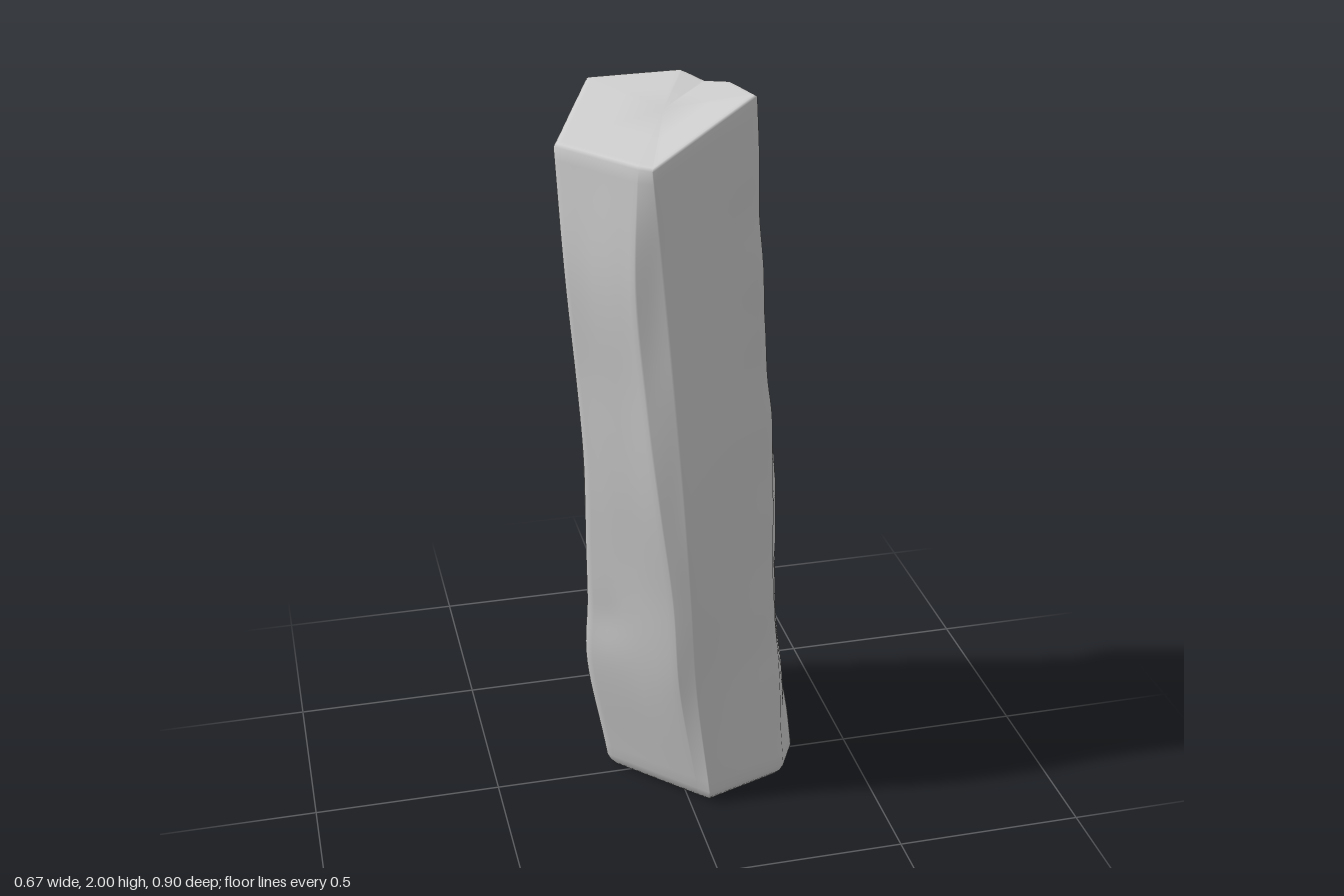
import * as THREE from 'three';

// Corner ridges of the column, each listed from foot to top as [x, z] at HEIGHTS.
const HEIGHTS = [0.04, 0.4, 0.7, 1.0, 1.3, 1.6];
const RIDGES = [
  { top: [-0.155, 1.9, 0.45], xz: [[0.05, 0.215], [0, 0.262], [-0.03, 0.32], [-0.06, 0.37], [-0.09, 0.4], [-0.12, 0.418]] }, // front
  { top: [0.13, 2.0, 0.27], xz: [[0.28, 0.135], [0.255, 0.145], [0.23, 0.16], [0.21, 0.185], [0.185, 0.22], [0.155, 0.25]] }, // front left
  { top: [0.115, 1.985, 0.1], xz: [[0.33, 0.04], [0.295, 0], [0.285, -0.04], [0.262, -0.01], [0.228, 0.02], [0.165, 0.08]] }, // left
  { top: [0.075, 1.975, 0.035], xz: [[0.255, -0.255], [0.235, -0.185], [0.255, -0.2], [0.23, -0.155], [0.175, -0.11], [0.12, -0.05]] }, // back left
  { top: [0.02, 1.99, -0.015], xz: [[0.075, -0.45], [0.06, -0.38], [0.055, -0.31], [0.05, -0.24], [0.045, -0.155], [0.04, -0.085]] }, // back
  { top: [-0.2, 1.97, -0.07], xz: [[-0.06, -0.4], [-0.1, -0.305], [-0.145, -0.25], [-0.19, -0.185], [-0.21, -0.095], [-0.21, -0.075]] }, // back right
  { top: [-0.335, 1.9, 0.22], xz: [[-0.185, -0.03], [-0.245, 0.02], [-0.25, 0.07], [-0.265, 0.13], [-0.288, 0.18], [-0.317, 0.225]] }, // right
  { top: [-0.185, 1.9, 0.425], xz: [[0.02, 0.185], [-0.045, 0.245], [-0.075, 0.3], [-0.12, 0.35], [-0.16, 0.38], [-0.19, 0.405]] }, // front right
];
// Roughness of the face after each ridge: the left side is broken, the rest is smooth.
const ROUGH = [0.1, 1, 0.8, 0.2, 0, 0, 0, 0];
const STEPS = [0, 0.07, 0.22, 0.4, 0.6, 0.78, 0.93];

// Gouges: centre, radius and depth.
const GOUGES = [
  [0.08, 1.9, 0.03, 0.09, 0.035],
  [0.28, 0.55, 0.06, 0.13, 0.018],
  [0.3, 0.28, 0.0, 0.12, 0.01],
  [-0.23, 0.55, 0.1, 0.1, 0.01],
];

// Smooth value noise in the range -1 to 1.
function hash(i, j, k) {
  const s = Math.sin(i * 127.1 + j * 311.7 + k * 74.7) * 43758.5453;
  return (s - Math.floor(s)) * 2 - 1;
}

function noise(x, y, z) {
  const i = Math.floor(x), j = Math.floor(y), k = Math.floor(z);
  const [u, v, w] = [x - i, y - j, z - k].map((t) => t * t * (3 - 2 * t));
  const mix = THREE.MathUtils.lerp;
  const row = (b, c) => mix(hash(i, b, c), hash(i + 1, b, c), u);
  return mix(mix(row(j, k), row(j + 1, k), v), mix(row(j, k + 1), row(j + 1, k + 1), v), w);
}

// Long shallow streaks everywhere, lumps where rough, and the gouges.
function weather(p, centre, rough, fade) {
  const out = new THREE.Vector3(p.x - centre.x, 0, p.z - centre.z).normalize();
  let push = fade * (0.005 * noise(p.x * 13, p.y * 2, p.z * 13)
    + rough * 0.013 * noise(p.x * 10 + 5, p.y * 7, p.z * 10));
  for (const [x, y, z, r, depth] of GOUGES) {
    const d2 = (p.x - x) ** 2 + (p.y - y) ** 2 / 2 + (p.z - z) ** 2;
    push -= depth * Math.exp(-3 * d2 / (r * r));
  }
  return p.addScaledVector(out, push);
}

const middle = (ring) => ring.reduce((s, p) => s.add(p), new THREE.Vector3()).divideScalar(ring.length);

// One cross-section at t along the ridges.
function section(curves, t) {
  const corners = curves.map((c) => c.getPoint(t));
  const n = corners.length;
  const centre = middle(corners.map((p) => p.clone()));
  const fade = Math.min(1, t * 6, (1 - t) * 8 + 0.1);
  const ring = [];
  corners.forEach((a, k) => {
    const before = ROUGH[(k + n - 1) % n], here = ROUGH[k], after = ROUGH[(k + 1) % n];
    for (const s of STEPS) {
      const rough = s < 0.5
        ? THREE.MathUtils.lerp((before + here) / 2, here, s * 2)
        : THREE.MathUtils.lerp(here, (here + after) / 2, s * 2 - 1);
      ring.push(weather(a.clone().lerp(corners[(k + 1) % n], s), centre, rough, fade));
    }
  });
  return ring;
}

// A copy of a ring drawn in toward its middle and shifted in height.
function inset(ring, scale, dy) {
  const c = middle(ring);
  return ring.map((p) => {
    const q = c.clone().lerp(p, scale);
    q.y = Math.max(0, q.y + dy);
    return q;
  });
}

function createColumn() {
  const curves = RIDGES.map(({ xz, top }) => new THREE.CatmullRomCurve3(
    [...xz.map(([x, z], i) => new THREE.Vector3(x, HEIGHTS[i], z)), new THREE.Vector3(...top)], false, 'centripetal'));
  const rows = [];
  const COUNT = 56;
  for (let i = 0; i <= COUNT; i++) rows.push(section(curves, i / COUNT));

  // Rounded rims and flat ends
  const foot = rows[0], head = rows[COUNT];
  const bottom = [0, 0.5, 0.9, 0.96].map((s) => inset(foot, s, s > 0.95 ? -0.022 : -0.04));
  const crown = [0.97, 0.92, 0.5, 0].map((s) => inset(head, s, 0.005));
  const all = [...bottom, ...rows, ...crown];

  const n = foot.length, last = all.length - 1, index = [];
  for (let i = 0; i < last; i++) {
    for (let j = 0; j < n; j++) {
      const a = i * n + j, b = i * n + (j + 1) % n;
      if (i > 0) index.push(a, b, b + n);
      if (i < last - 1) index.push(a, b + n, a + n);
    }
  }
  const geometry = new THREE.BufferGeometry().setFromPoints(all.flat());
  geometry.setIndex(index);
  geometry.computeVertexNormals();
  // The collapsed centre points of both ends share a plain normal
  for (let j = 0; j < n; j++) {
    geometry.attributes.normal.setXYZ(j, 0, -1, 0);
    geometry.attributes.normal.setXYZ(last * n + j, 0, 1, 0);
  }
  const mesh = new THREE.Mesh(geometry, new THREE.MeshStandardMaterial({ color: 0xcccccc }));
  mesh.name = 'rockColumn';
  return mesh;
}

export function createModel() {
  const group = new THREE.Group();
  group.name = 'leaningRock';
  group.add(createColumn());
  return group;
}
